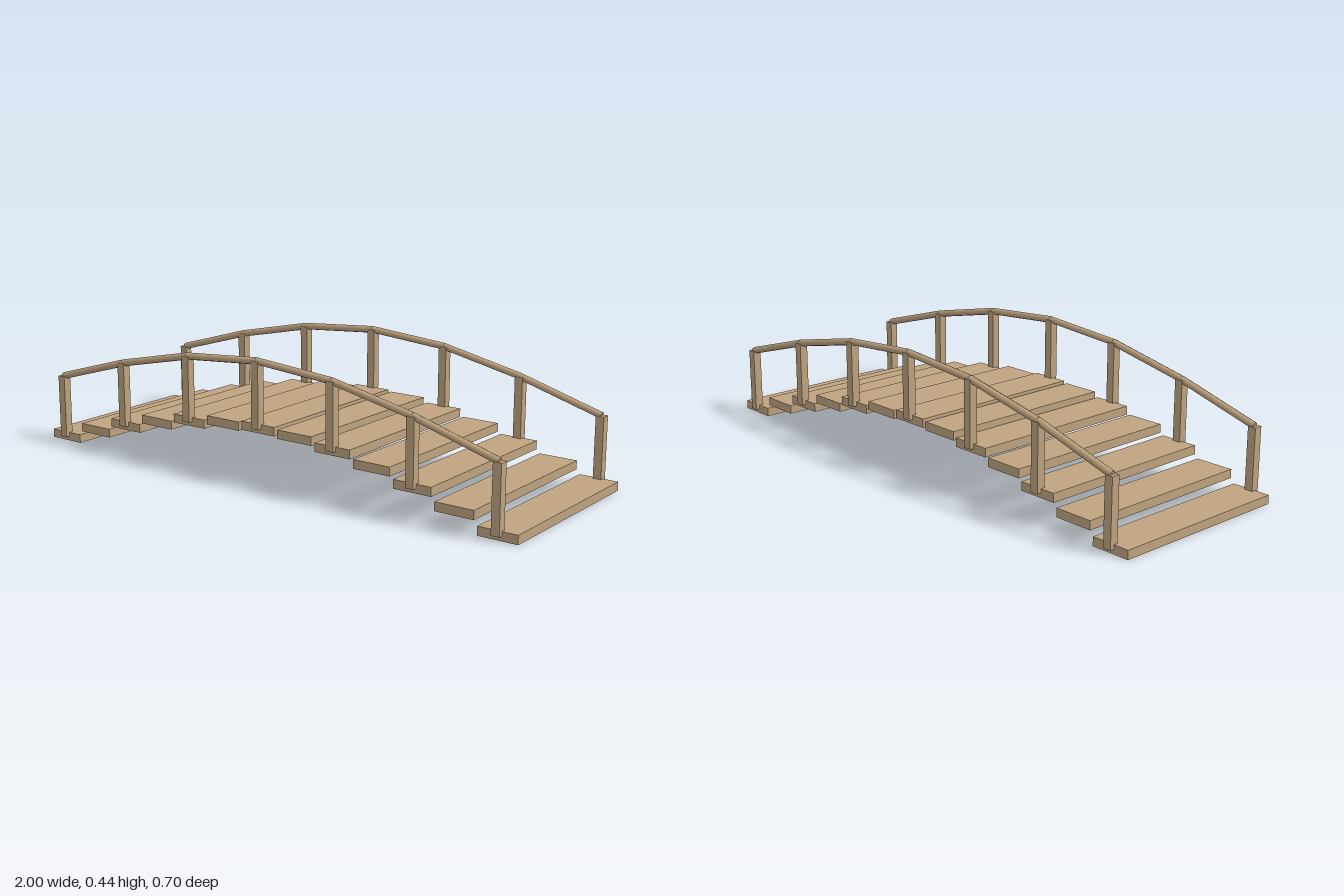
import * as THREE from 'three';

const PLANKS = 13, STEP = 1.858 / (PLANKS - 1);
const PLANK_H = 0.031, RAIL_Z = 0.335, POST_H = 0.232;

// Centre of plank i along the arch
const archPoint = (i) => new THREE.Vector2(
  -0.929 + i * STEP,
  PLANK_H / 2 + 0.18 * Math.sin((Math.PI * i) / (PLANKS - 1))
);

export function createModel() {
  const bridge = new THREE.Group();
  bridge.name = 'footbridge';
  const wood = new THREE.MeshStandardMaterial({ color: 0xbfa380 });
  wood.name = 'wood';

  const add = (parent, name, geometry) => {
    const mesh = new THREE.Mesh(geometry, wood);
    mesh.name = name;
    parent.add(mesh);
    return mesh;
  };

  // Arched deck of level planks
  const deck = new THREE.Group();
  deck.name = 'deck';
  bridge.add(deck);
  const plankGeometry = new THREE.BoxGeometry(0.142, PLANK_H, 0.67);
  for (let i = 0; i < PLANKS; i++) {
    const p = archPoint(i);
    add(deck, 'plank', plankGeometry).position.set(p.x, p.y, 0);
  }

  // A railing on each side: posts on every second plank, joined by straight rails
  const postGeometry = new THREE.BoxGeometry(0.03, POST_H, 0.03);
  for (const side of [1, -1]) {
    const railing = new THREE.Group();
    railing.name = side > 0 ? 'frontRailing' : 'backRailing';
    railing.position.z = side * RAIL_Z;
    bridge.add(railing);
    for (let i = 0; i < PLANKS; i += 2) {
      const a = archPoint(i);
      add(railing, 'post', postGeometry).position.set(a.x, a.y + POST_H / 2, 0);
      if (i + 2 >= PLANKS) continue;
      const b = archPoint(i + 2);
      const rail = add(railing, 'handrail',
        new THREE.CylinderGeometry(0.0125, 0.0125, a.distanceTo(b), 8));
      rail.position.set((a.x + b.x) / 2, (a.y + b.y) / 2 + POST_H, 0);
      rail.rotation.z = Math.atan2(b.y - a.y, b.x - a.x) - Math.PI / 2;
    }
  }
  return bridge;
}
